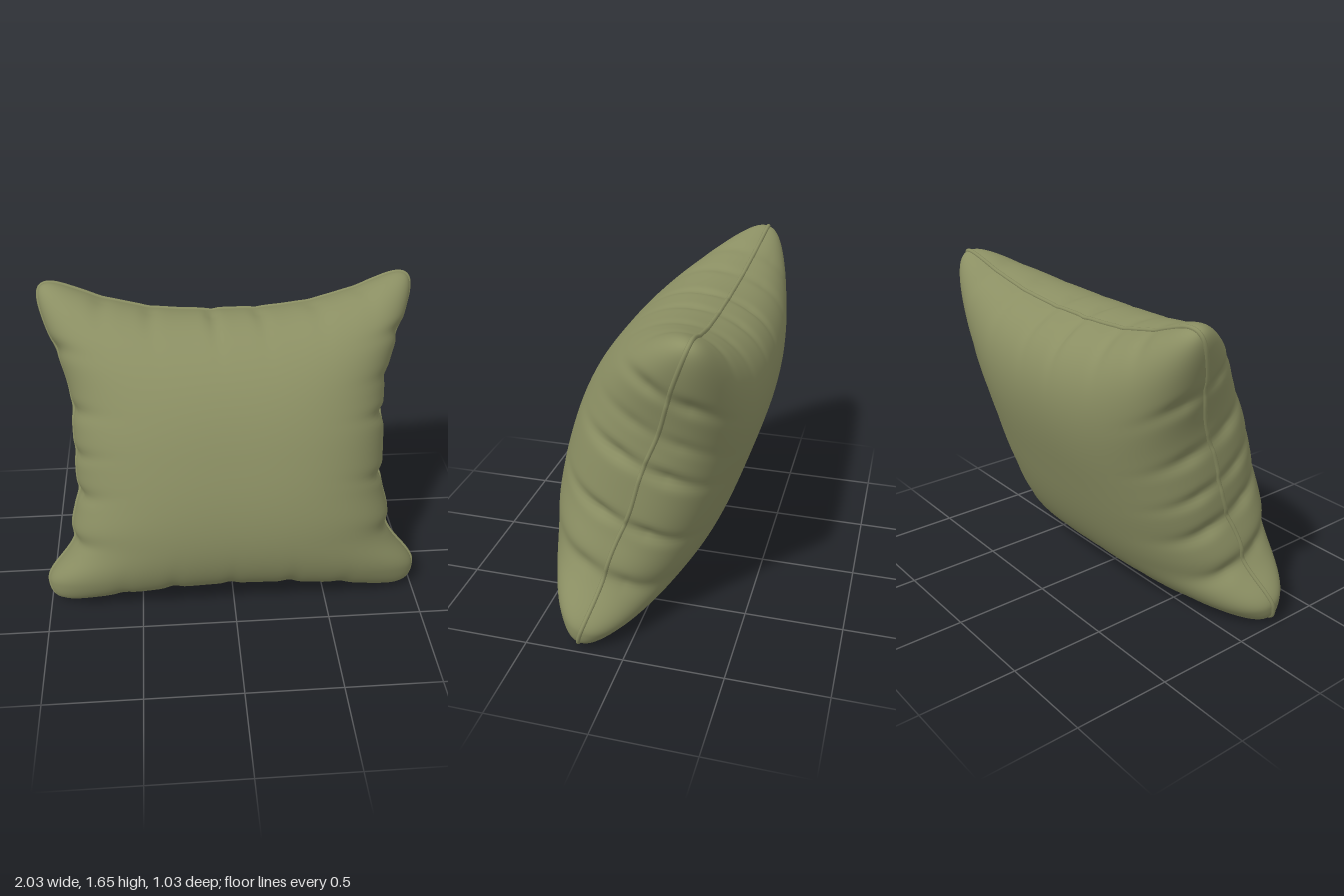
import * as THREE from 'three';

// Creases along each edge: [position along the edge, depth, width]
const CREASES = {
  top: [[-0.72, 0.018, 0.05], [-0.46, 0.02, 0.045], [-0.1, 0.03, 0.035], [0.18, 0.022, 0.04], [0.5, 0.016, 0.05], [0.76, 0.014, 0.05]],
  bottom: [[-0.66, 0.016, 0.05], [-0.38, 0.025, 0.045], [-0.04, 0.02, 0.04], [0.32, 0.025, 0.045], [0.62, 0.018, 0.05]],
  left: [[-0.56, 0.025, 0.05], [-0.22, 0.038, 0.04], [0.16, 0.036, 0.04], [0.38, 0.014, 0.04], [0.64, 0.026, 0.045]],
  right: [[-0.58, 0.025, 0.05], [-0.27, 0.032, 0.045], [-0.02, 0.024, 0.04], [0.24, 0.026, 0.045], [0.6, 0.025, 0.05]],
};

// Depth of the creases of one edge; e runs from 0 at the seam inwards
function crease(edge, s, e, slant) {
  const fade = Math.exp(-((e / 0.28) ** 2)) * (0.35 + 0.65 * Math.min(1, e / 0.12));
  return fade * CREASES[edge].reduce((sum, [at, depth, width]) =>
    sum + depth * Math.exp(-(((s - at - slant * e) / width) ** 2)), 0);
}

const dome = (s, p, q) => Math.max(0, 1 - Math.abs(s) ** p) ** q;
const { smoothstep } = THREE.MathUtils;

// How far the side seams flare out at height q
const flare = (q) => q > 0
  ? 0.15 * smoothstep(q, 0.25, 0.95)
  : 0.04 * smoothstep(-q, 0.25, 0.5) + 0.15 * smoothstep(-q, 0.55, 0.84);

// Half height of the outline at width p
const halfHeight = (p, up) => up ? 0.70 + 0.225 * Math.abs(p) ** 2.7 : 0.785 + 0.105 * p * p;

// Point of the cushion in its own plane: a, b in -1..1, side +1 front, -1 back
function surfacePoint(a, b, side) {
  const u = Math.sin(a * Math.PI / 2), v = Math.sin(b * Math.PI / 2);
  // Square with rounded corners, then pinched so that the corners become ears
  const p = u * (1 - 0.045 * Math.abs(v) ** 21);
  const q = v * (1 - 0.045 * Math.abs(u) ** 21);
  let x = p * (0.815 + flare(q) * (0.4 + 0.6 * u * u));
  let y = q * halfHeight(p, q > 0);
  // Padding, fuller in front than behind and thinner in the ears
  let z = side > 0
    ? 0.485 * dome(u, 3, 0.42) * dome(v, 2.3, 0.43)
    : -0.41 * dome(u, 3, 0.42) * dome(v, 3, 0.4);
  z *= 1 - 0.1 * u * u * v * v;
  // Creases pull the cloth in
  const dx = crease(u > 0 ? 'left' : 'right', v, 1 - Math.abs(a), side * 0.12);
  const dy = crease(v > 0 ? 'top' : 'bottom', u, 1 - Math.abs(b), side * 0.06);
  x -= Math.sign(u) * dx;
  y -= Math.sign(v) * dy * 0.7;
  z *= 1 - 1.6 * (dx + dy);
  // The side seams bow forward and waver
  z += u ** 4 * (0.008 + 0.006 * Math.sin(11 * v)) * (1 - v * v);
  return new THREE.Vector3(x, y, z);
}

function panel(name, side, material) {
  const geometry = new THREE.PlaneGeometry(2, 2, 140, 140);
  const pos = geometry.attributes.position;
  for (let i = 0; i < pos.count; i++) {
    const p = surfacePoint(side * pos.getX(i), pos.getY(i), side);
    pos.setXYZ(i, p.x, p.y, p.z);
  }
  geometry.computeVertexNormals();
  const mesh = new THREE.Mesh(geometry, material);
  mesh.name = name;
  return mesh;
}

// Piping that follows the seam
function piping(material) {
  const points = [];
  const n = 70;
  for (const [cx, cy, dx, dy] of [[-1, -1, 1, 0], [1, -1, 0, 1], [1, 1, -1, 0], [-1, 1, 0, -1]]) {
    for (let i = 0; i < n; i++) {
      points.push(surfacePoint(cx + dx * 2 * i / n, cy + dy * 2 * i / n, 1));
    }
  }
  const path = new THREE.CatmullRomCurve3(points, true);
  const mesh = new THREE.Mesh(new THREE.TubeGeometry(path, 560, 0.011, 8, true), material);
  mesh.name = 'seamPiping';
  return mesh;
}

export function createModel() {
  const cloth = new THREE.MeshStandardMaterial({ color: 0x8b8f63 });
  cloth.name = 'olive cloth';

  const cushion = new THREE.Group();
  cushion.name = 'cushion';
  cushion.add(panel('frontPanel', 1, cloth), panel('backPanel', -1, cloth), piping(cloth));
  cushion.rotation.x = -0.324; // leans back

  // Stand on the ground, centred
  const model = new THREE.Group();
  model.name = 'throwPillow';
  model.add(cushion);
  const box = new THREE.Box3().setFromObject(model, true);
  const centre = box.getCenter(new THREE.Vector3());
  cushion.position.set(-centre.x, -box.min.y, -centre.z);
  return model;
}
